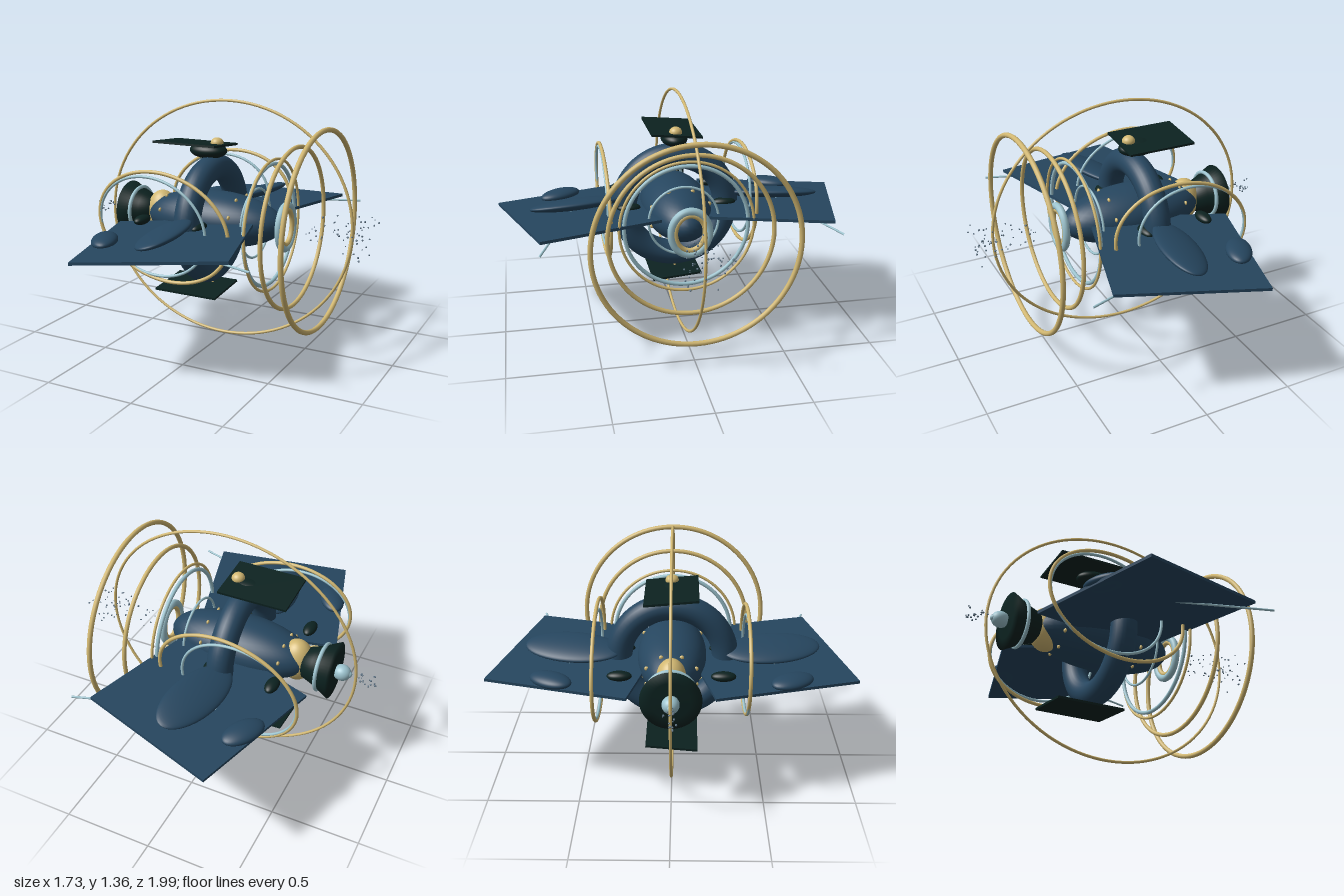
import * as THREE from 'three';

const mat = (name, color, side = THREE.FrontSide) => {
  const m = new THREE.MeshStandardMaterial({ color, side });
  m.name = name;
  return m;
};

export function createModel() {
  const model = new THREE.Group();
  const blue = mat('hull blue', 0x26465f);
  const dark = mat('dark green', 0x0c2220);
  const gold = mat('gold', 0xd2b872);
  const pale = mat('pale blue', 0x9dc4cf);
  const dust = mat('spark grey', 0x62788a);
  const CY = 0.69;

  const add = (name, geo, material, pos, rot = [0, 0, 0]) => {
    const mesh = new THREE.Mesh(geo, material);
    mesh.name = name;
    mesh.position.set(...pos);
    mesh.rotation.set(...rot);
    model.add(mesh);
    return mesh;
  };
  const ellipsoid = (name, material, pos, r, rot) =>
    add(name, new THREE.SphereGeometry(1, 40, 24).scale(...r), material, pos, rot);

  // Elliptical tube in the local XY plane, keeping a round section
  const ovalRing = (name, material, rx, ry, tube, pos, rot) => {
    const pts = [];
    for (let i = 0; i < 48; i++) {
      const a = (i / 48) * Math.PI * 2;
      pts.push(new THREE.Vector3(rx * Math.cos(a), ry * Math.sin(a), 0));
    }
    const path = new THREE.CatmullRomCurve3(pts, true);
    return add(name, new THREE.TubeGeometry(path, 96, tube, 10, true), material, pos, rot);
  };
  // Ring around the long x axis
  const hoop = (name, material, x, r, tube, wide = r) =>
    ovalRing(name, material, wide, r, tube, [x, CY, 0], [0, Math.PI / 2, 0]);
  const rod = (name, material, a, b, r) => {
    const from = new THREE.Vector3(...a), to = new THREE.Vector3(...b);
    return add(name, new THREE.TubeGeometry(new THREE.LineCurve3(from, to), 1, r, 10), material, [0, 0, 0]);
  };

  // Hull with canopy and glowing core
  ellipsoid('fuselage', blue, [-0.07, CY, 0], [0.42, 0.157, 0.19]);
  ellipsoid('canopy', blue, [0.09, 0.755, 0], [0.16, 0.065, 0.1]);
  ellipsoid('core', gold, [-0.41, CY, 0], [0.093, 0.127, 0.085]);

  // Flared collar: profile is [radius, x], turned onto the x axis
  const profile = [[0, -0.64], [0.1, -0.635], [0.158, -0.63], [0.125, -0.565], [0.105, -0.52],
    [0.085, -0.465], [0.05, -0.445], [0, -0.44]].map(([r, x]) => new THREE.Vector2(r, x));
  add('collar', new THREE.LatheGeometry(profile, 48).rotateZ(-Math.PI / 2), dark, [0, CY, 0]);
  hoop('collarRing', pale, -0.56, 0.128, 0.011);
  ellipsoid('endCap', pale, [-0.67, CY, 0], [0.05, 0.045, 0.045]);
  ellipsoid('endTip', pale, [-0.705, CY, 0], [0.022, 0.02, 0.02]);

  // Rings along the axis
  add('mainRing', new THREE.TorusGeometry(0.293, 0.073, 24, 72), blue, [-0.082, 0.685, 0], [0, Math.PI / 2, 0]);
  hoop('innerRing', pale, 0.19, 0.193, 0.007);
  hoop('paleHoop', pale, 0.276, 0.338, 0.011);
  hoop('goldHoopSmall', gold, 0.292, 0.366, 0.008);
  hoop('goldHoopMiddle', gold, 0.42, 0.442, 0.012);
  hoop('goldHoopLarge', gold, 0.576, 0.543, 0.014);
  hoop('nozzleRing', pale, 0.37, 0.121, 0.021, 0.102);
  hoop('nozzleLiner', gold, 0.372, 0.098, 0.014, 0.08);
  ovalRing('outerOrbit', gold, 0.75, 0.673, 0.008, [0, 0.685, 0], [0, 0, 0.12]);

  // Wings, pods, tip rods and side orbits on both sides
  for (const s of [1, -1]) {
    const side = s > 0 ? 'left' : 'right';
    add(side + 'Wing', new THREE.BoxGeometry(0.79, 0.016, 0.795), blue, [-0.07, 0.685, s * 0.505], [0, s * 0.275, 0.07]);
    ellipsoid(side + 'WingFairing', blue, [-0.07, 0.73, s * 0.55], [0.125, 0.033, 0.275], [0, s * 0.2, 0.28]);
    ellipsoid(side + 'WingPod', blue, [-0.38, 0.68, s * 0.635], [0.07, 0.035, 0.125], [0, s * 0.5, 0.07]);
    rod(side + 'TipRod', pale, [-0.19, 0.687, s * 0.55], [0.53, 0.687, s * 0.79], 0.006);
    for (const x of [-0.38, -0.02])
      ellipsoid(side + 'Thruster', dark, [x, 0.705, s * 0.273], [0.036, 0.026, 0.066]);
    ovalRing(side + 'GoldOrbit', gold, 0.4, 0.292, 0.01, [-0.175, 0.715, s * 0.4], [0, 0, -s * 0.2]);
    ovalRing(side + 'PaleOrbit', pale, 0.33, 0.265, 0.008, [-0.24, 0.712, s * 0.4], [0, 0, -s * 0.25]);
  }

  // Upper and lower fins
  add('upperFin', new THREE.BoxGeometry(0.39, 0.012, 0.285), dark, [-0.19, 1.11, 0], [-0.09, 0, 0]);
  add('lowerFin', new THREE.BoxGeometry(0.39, 0.012, 0.285), dark, [-0.19, 0.27, 0], [0.09, 0, 0]);
  ellipsoid('turret', dark, [-0.107, 1.075, 0], [0.112, 0.045, 0.075]);
  ellipsoid('turretDome', gold, [-0.052, 1.12, 0], [0.036, 0.031, 0.036]);
  rod('keelStud', gold, [-0.083, 0.305, 0], [-0.083, 0.34, 0], 0.008);

  // Gold studs around the hull
  for (const x of [0.1, -0.35]) {
    const k = Math.sqrt(1 - ((x + 0.07) / 0.42) ** 2);
    for (let i = 0; i < 8; i++) {
      const a = ((i + 0.5) / 8) * Math.PI * 2;
      ellipsoid('hullStud', gold, [x, CY + 0.157 * k * Math.sin(a), 0.19 * k * Math.cos(a)], [0.008, 0.012, 0.012]);
    }
  }

  // Drifting sparks at both ends
  let seed = 7;
  const rnd = () => (seed = (seed * 16807) % 2147483647) / 2147483647;
  const sparks = (name, count, x0, x1, spread) => {
    for (let i = 0; i < count; i++) {
      const t = rnd(), a = rnd() * Math.PI * 2;
      const r = spread * (0.4 + 0.6 * t) * Math.sqrt(rnd());
      add(name, new THREE.IcosahedronGeometry(0.003 + 0.003 * rnd(), 1), dust,
        [x0 + (x1 - x0) * t, CY + r * Math.sin(a), r * Math.cos(a)]);
    }
  };
  sparks('exhaustSpark', 60, 0.5, 0.86, 0.15);
  sparks('tailSpark', 22, -0.72, -0.865, 0.05);

  return model;
}
